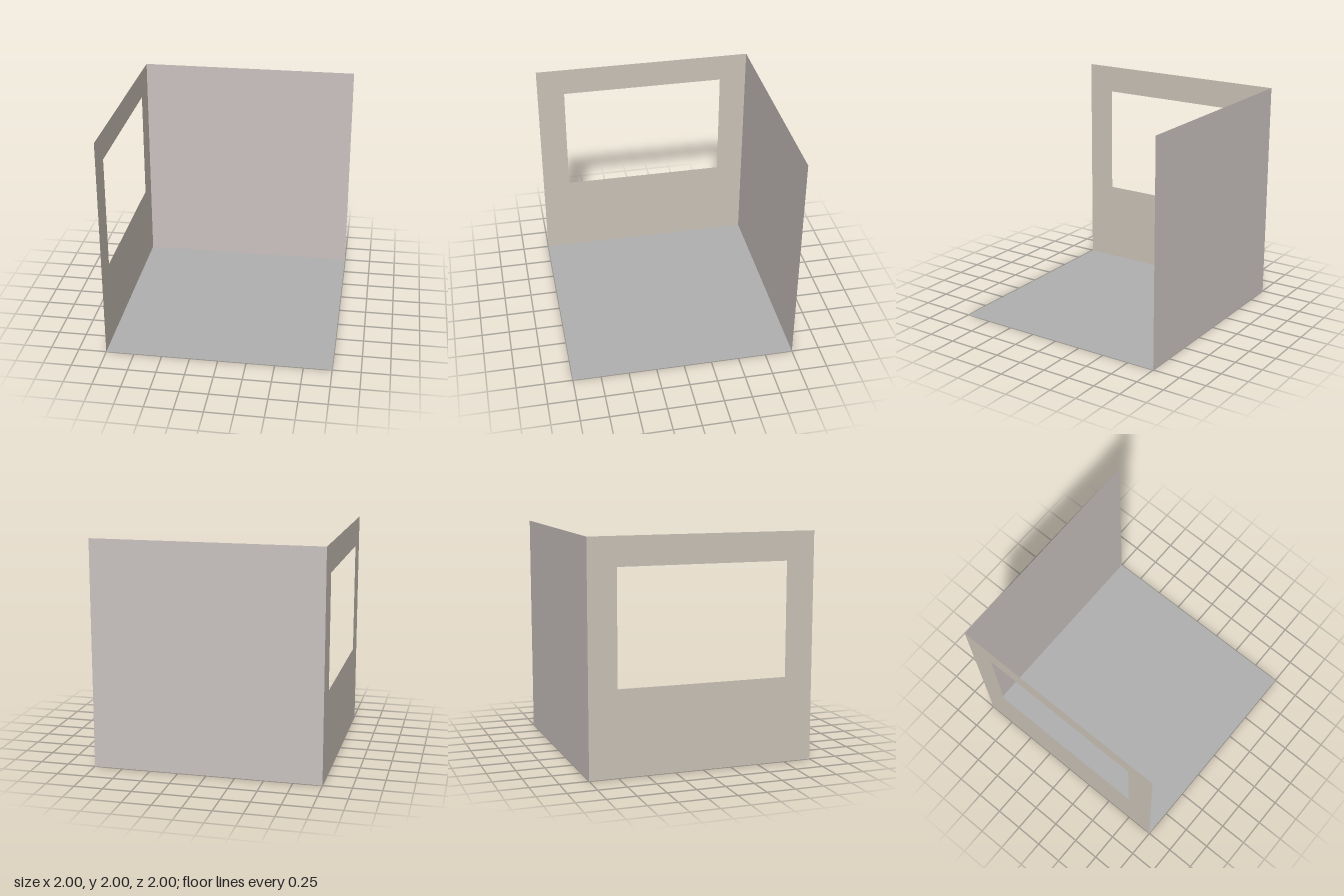
import * as THREE from 'three';

// Thin flat panel, visible from both sides
function panel(name, geometry, color) {
  const material = new THREE.MeshStandardMaterial({ color, side: THREE.DoubleSide });
  const mesh = new THREE.Mesh(geometry, material);
  mesh.name = name;
  return mesh;
}

// Rectangle outline from its lower-left corner
function rectangle(Type, x, y, w, h) {
  return new Type([[x, y], [x + w, y], [x + w, y + h], [x, y + h]]
    .map(([px, py]) => new THREE.Vector2(px, py)));
}

export function createModel() {
  const room = new THREE.Group();
  room.name = 'openRoom';

  // Floor
  const floor = panel('floor', new THREE.PlaneGeometry(2, 2), 0xb0b0b0);
  floor.rotation.x = -Math.PI / 2;

  // Solid back wall
  const backWall = panel('backWall', new THREE.PlaneGeometry(2, 2), 0xcac2c0);
  backWall.position.set(0, 1, -1);

  // Side wall with a wide window opening, facing into the room
  const outline = rectangle(THREE.Shape, -1, 0, 2, 2);
  outline.holes.push(rectangle(THREE.Path, -0.75, 0.75, 1.5, 1));
  const windowWall = panel('windowWall', new THREE.ShapeGeometry(outline), 0xc9c2b7);
  windowWall.rotation.y = Math.PI / 2;
  windowWall.position.x = -1;

  room.add(floor, backWall, windowWall);
  return room;
}
